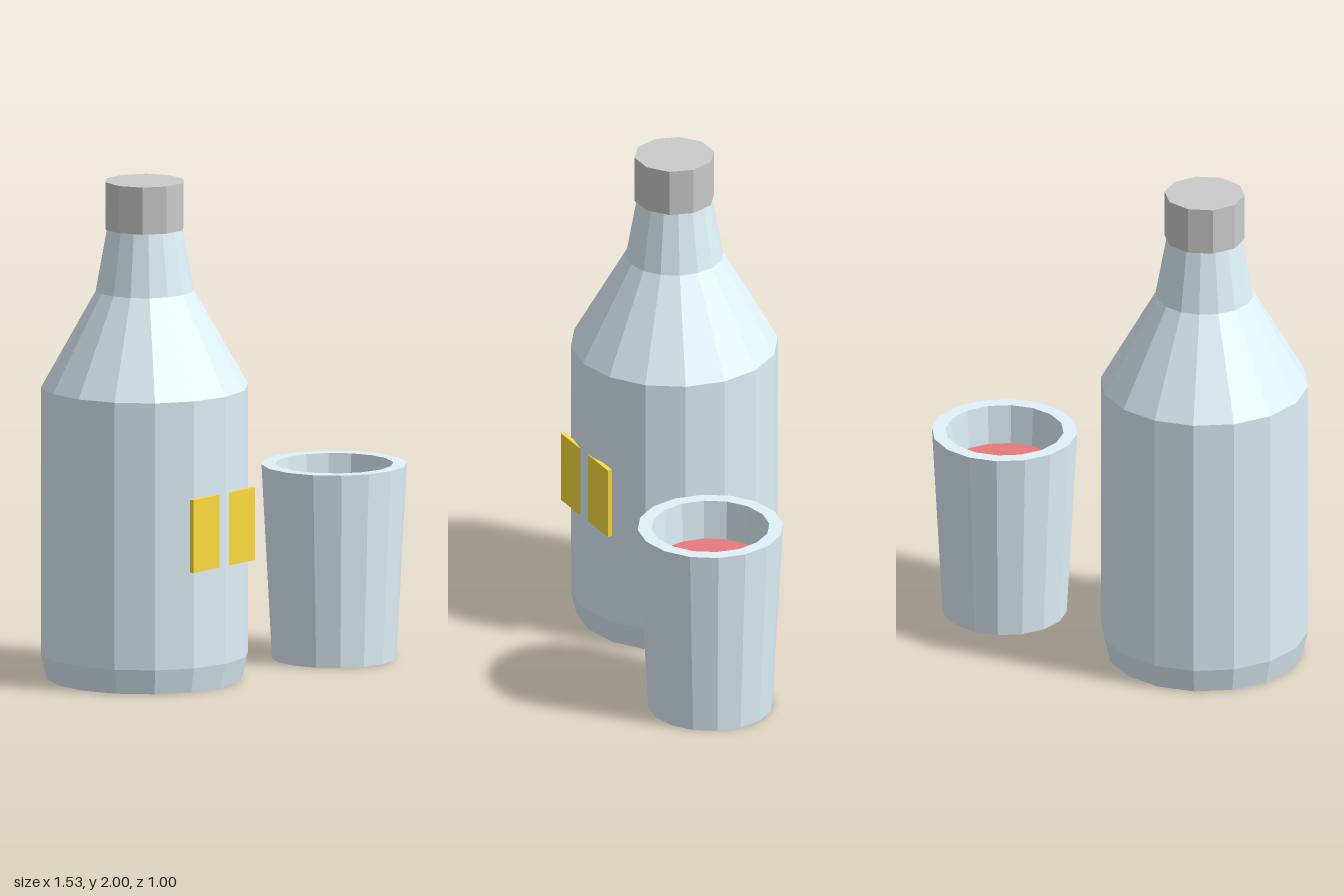
import * as THREE from 'three';

const material = (color) => new THREE.MeshStandardMaterial({ color, flatShading: true });

// Faceted solid of revolution from [radius, height] pairs, listed bottom to top on the outside
function turned(name, profile, mat, sides = 16) {
  const points = profile.map(([r, y]) => new THREE.Vector2(r, y));
  const mesh = new THREE.Mesh(new THREE.LatheGeometry(points, sides), mat);
  mesh.name = name;
  return mesh;
}

export function createModel() {
  const glassMat = material(0xe0f2fa);
  const model = new THREE.Group();
  model.name = 'bottleAndGlass';

  // Bottle with chamfered foot, sloping shoulder and tapered neck
  const bottle = new THREE.Group();
  bottle.name = 'bottle';
  bottle.position.set(-0.355, 0, -0.088);
  bottle.add(turned('bottleBody', [
    [0, 0], [0.39, 0], [0.413, 0.1], [0.413, 1.175],
    [0.195, 1.56], [0.15, 1.81], [0, 1.81],
  ], glassMat));

  // Ten-sided cap with corners on the x axis
  const cap = new THREE.Mesh(new THREE.CylinderGeometry(0.16, 0.16, 0.19, 10), material(0xcccccc));
  cap.name = 'cap';
  cap.position.y = 1.905;
  cap.rotation.y = Math.PI / 2;
  bottle.add(cap);

  // Flat label plate, pierced by the front edge of the bottle
  const label = new THREE.Mesh(new THREE.BoxGeometry(0.386, 0.293, 0.018), material(0xfddc3f));
  label.name = 'label';
  label.position.set(0, 0.638, 0.398);
  bottle.add(label);

  // Tapered drinking glass with a thick wall
  const glass = new THREE.Group();
  glass.name = 'drinkingGlass';
  glass.position.set(0.475, 0, 0.205);
  glass.add(turned('glassWall', [
    [0, 0], [0.248, 0], [0.29, 0.782], [0.235, 0.782], [0.196, 0.06], [0, 0.06],
  ], glassMat));

  // Drink filling the glass
  glass.add(turned('drink', [[0, 0.065], [0.196, 0.065], [0.226, 0.62], [0, 0.62]], material(0xe87b7b)));

  model.add(bottle, glass);
  return model;
}
